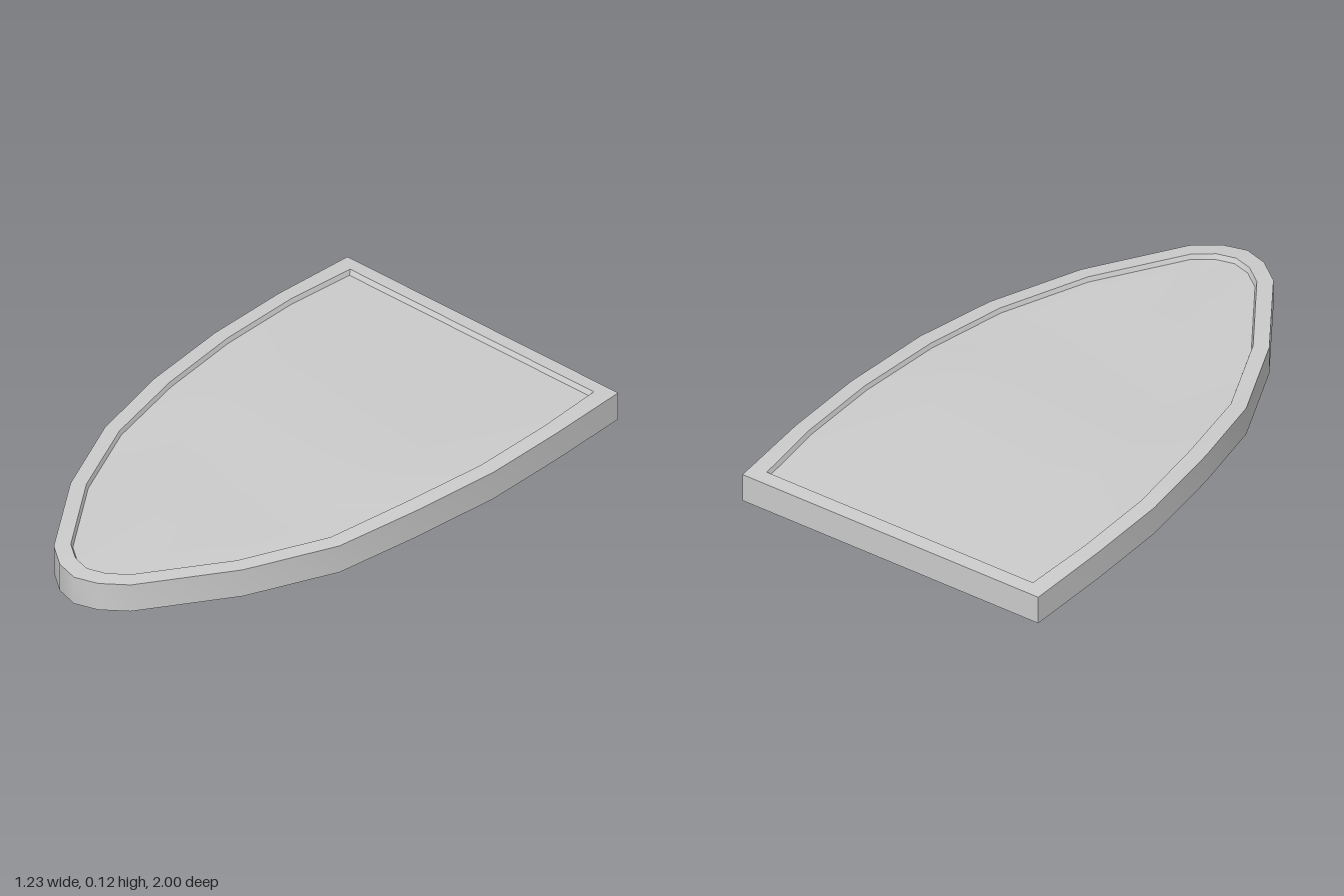
import * as THREE from 'three';
import { toCreasedNormals } from 'three/addons/utils/BufferGeometryUtils.js';

// Half outlines from the straight back edge to the rounded tip: [x, z]
const OUTER = [[0.597, -1], [0.613, -0.68], [0.613, -0.37], [0.578, -0.03], [0.518, 0.275],
  [0.38, 0.595], [0.17, 0.91], [0.085, 0.975], [0, 1]];
const INNER = [[0.537, -0.947], [0.558, -0.68], [0.558, -0.37], [0.523, -0.05], [0.466, 0.26],
  [0.333, 0.57], [0.133, 0.868], [0.067, 0.918], [0, 0.937]];
// Slight unevenness in height along the outline
const WAVE = [-0.003, 0.004, 0.004, 0.006, -0.006, -0.003, 0, 0, -0.001];

// Full closed loop (left side, tip, right side) at a height
function loop(half, y, scale = 1) {
  const left = half.map(([x, z], i) => [x * scale, y + WAVE[i], z * scale]);
  const right = left.slice(0, -1).reverse().map(([x, h, z]) => [-x, h, z]);
  return [...left, ...right];
}

function makeMesh(name, positions) {
  let g = new THREE.BufferGeometry();
  g.setAttribute('position', new THREE.Float32BufferAttribute(positions, 3));
  g = toCreasedNormals(g, 0.6);
  const mesh = new THREE.Mesh(g, new THREE.MeshStandardMaterial({ color: 0xcccccc }));
  mesh.name = name;
  return mesh;
}

// Skin between successive loops
function skin(loops) {
  const out = [];
  for (let k = 0; k < loops.length - 1; k++) {
    const a = loops[k], b = loops[k + 1], n = a.length;
    for (let i = 0; i < n; i++) {
      const j = (i + 1) % n;
      out.push(...a[i], ...b[i], ...b[j], ...a[i], ...b[j], ...a[j]);
    }
  }
  return out;
}

// Cap a mirrored loop with strips running across the width
function cap(l, up) {
  const out = [], n = l.length, tip = (n - 1) / 2;
  const tri = (a, b, c) => out.push(...a, ...(up ? b : c), ...(up ? c : b));
  for (let i = 0; i < tip; i++) {
    const a = l[i], b = l[i + 1], c = l[n - 1 - i], d = l[n - 2 - i];
    tri(a, c, b);
    if (i + 1 < tip) tri(c, d, b);
  }
  return out;
}

export function createModel() {
  const group = new THREE.Group();
  group.name = 'shield';

  const underEdge = loop(INNER, 0.008);
  const bottom = loop(OUTER, 0.013);
  const top = loop(OUTER, 0.117);
  const rimInner = loop(INNER, 0.121);
  const panelEdge = loop(INNER, 0.104, 0.99);
  const panelCrown = loop(INNER, 0.109, 0.6);

  // Raised border with its outer wall, gently sloped top and shallow inner step
  group.add(makeMesh('rim', skin([underEdge, bottom, top, rimInner, panelEdge])));
  // Slightly crowned recessed face and plain back
  group.add(makeMesh('facePanel', [...skin([panelEdge, panelCrown]), ...cap(panelCrown, true)]));
  group.add(makeMesh('backPanel', cap(underEdge, false)));
  return group;
}
